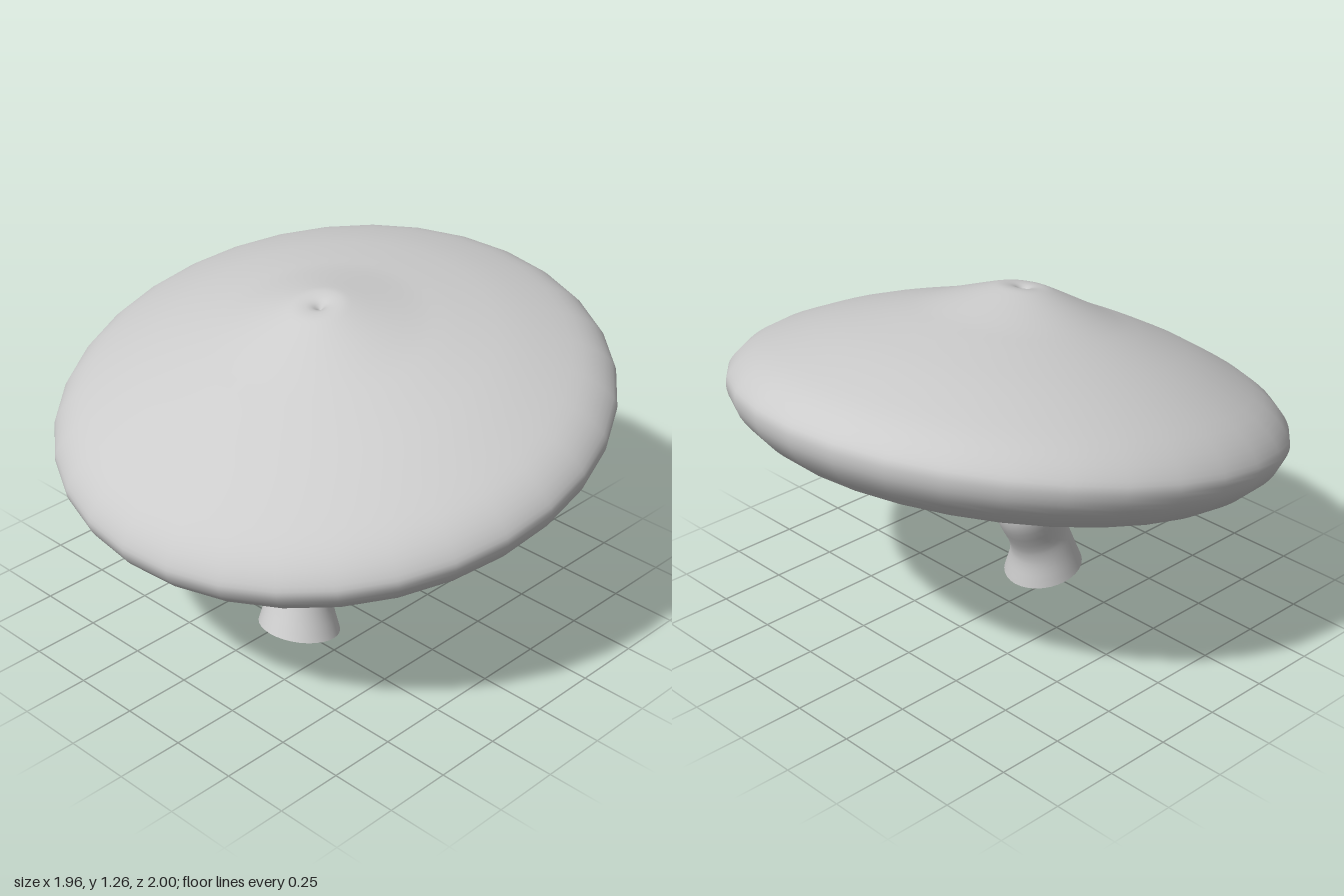
import * as THREE from 'three';

const material = new THREE.MeshStandardMaterial({ color: 0xcccccc, side: THREE.DoubleSide });

// Smooth surface of revolution through a few [radius, height] points
function lathe(name, points, steps) {
  const curve = new THREE.SplineCurve(points.map(([r, h]) => new THREE.Vector2(r, h)));
  const profile = curve.getPoints(steps);
  profile.forEach((p) => { p.x = Math.max(p.x, 0); });
  const mesh = new THREE.Mesh(new THREE.LatheGeometry(profile, 32), material);
  mesh.name = name;
  return mesh;
}

// Tube lofted between a left and a right edge curve, with elliptical rings
function loft(name, left, right, rings, sides) {
  const position = [], index = [];
  for (let i = 0; i <= rings; i++) {
    const a = left.getPoint(i / rings), b = right.getPoint(i / rings);
    const mid = a.clone().add(b).multiplyScalar(0.5);
    const half = b.clone().sub(a).multiplyScalar(0.5);
    for (let j = 0; j < sides; j++) {
      const t = (j / sides) * Math.PI * 2, c = Math.cos(t);
      position.push(mid.x + half.x * c, mid.y + half.y * c, mid.z + half.z * Math.sin(t));
      if (i === rings) continue;
      const k = i * sides, n = (j + 1) % sides;
      index.push(k + j, k + n, k + sides + j, k + n, k + sides + n, k + sides + j);
    }
  }
  const geometry = new THREE.BufferGeometry();
  geometry.setAttribute('position', new THREE.Float32BufferAttribute(position, 3));
  geometry.setIndex(index);
  geometry.computeVertexNormals();
  const mesh = new THREE.Mesh(geometry, material);
  mesh.name = name;
  return mesh;
}

export function createModel() {
  const model = new THREE.Group();
  model.name = 'mushroom';

  // Tilted cap: rounded rim, gentle cone and a small dimple at the peak
  const cap = new THREE.Group();
  cap.name = 'cap';
  cap.add(lathe('capTop', [
    [0.81, -0.135], [0.83, -0.166], [0.91, -0.122], [0.975, -0.06], [1.0, 0],
    [0.99, 0.045], [0.94, 0.103], [0.85, 0.16], [0.665, 0.24], [0.47, 0.303],
    [0.34, 0.34], [0.2, 0.388], [0.13, 0.412], [0.08, 0.425], [0.03, 0.42], [0, 0.395],
  ], 45));
  // Shallow hollow under the cap
  cap.add(lathe('capUnderside', [
    [0, 0.01], [0.3, -0.02], [0.6, -0.08], [0.81, -0.135],
  ], 12));
  cap.position.y = 0.83;
  cap.rotation.set(0.045, 0, 0.21);
  model.add(cap);

  // Bent, tapering stem, open at the foot
  // Each row: left x, left y, right x, right y, front z, back z
  const rows = [
    [-0.4, 0.06, -0.105, 0.0, 0.225, -0.075],
    [-0.35, 0.16, -0.115, 0.1, 0.185, -0.06],
    [-0.31, 0.25, -0.1, 0.16, 0.175, -0.055],
    [-0.25, 0.39, -0.03, 0.29, 0.175, -0.075],
    [-0.19, 0.43, -0.02, 0.4, 0.15, -0.06],
    [-0.15, 0.5, -0.015, 0.48, 0.1, -0.035],
    [-0.12, 0.63, -0.015, 0.62, 0.06, -0.02],
    [-0.08, 0.84, -0.045, 0.84, 0.03, 0],
  ];
  const left = new THREE.CatmullRomCurve3(rows.map((r) => new THREE.Vector3(r[0], r[1], r[4])));
  const right = new THREE.CatmullRomCurve3(rows.map((r) => new THREE.Vector3(r[2], r[3], r[5])));
  model.add(loft('stem', left, right, 28, 32));

  return model;
}
